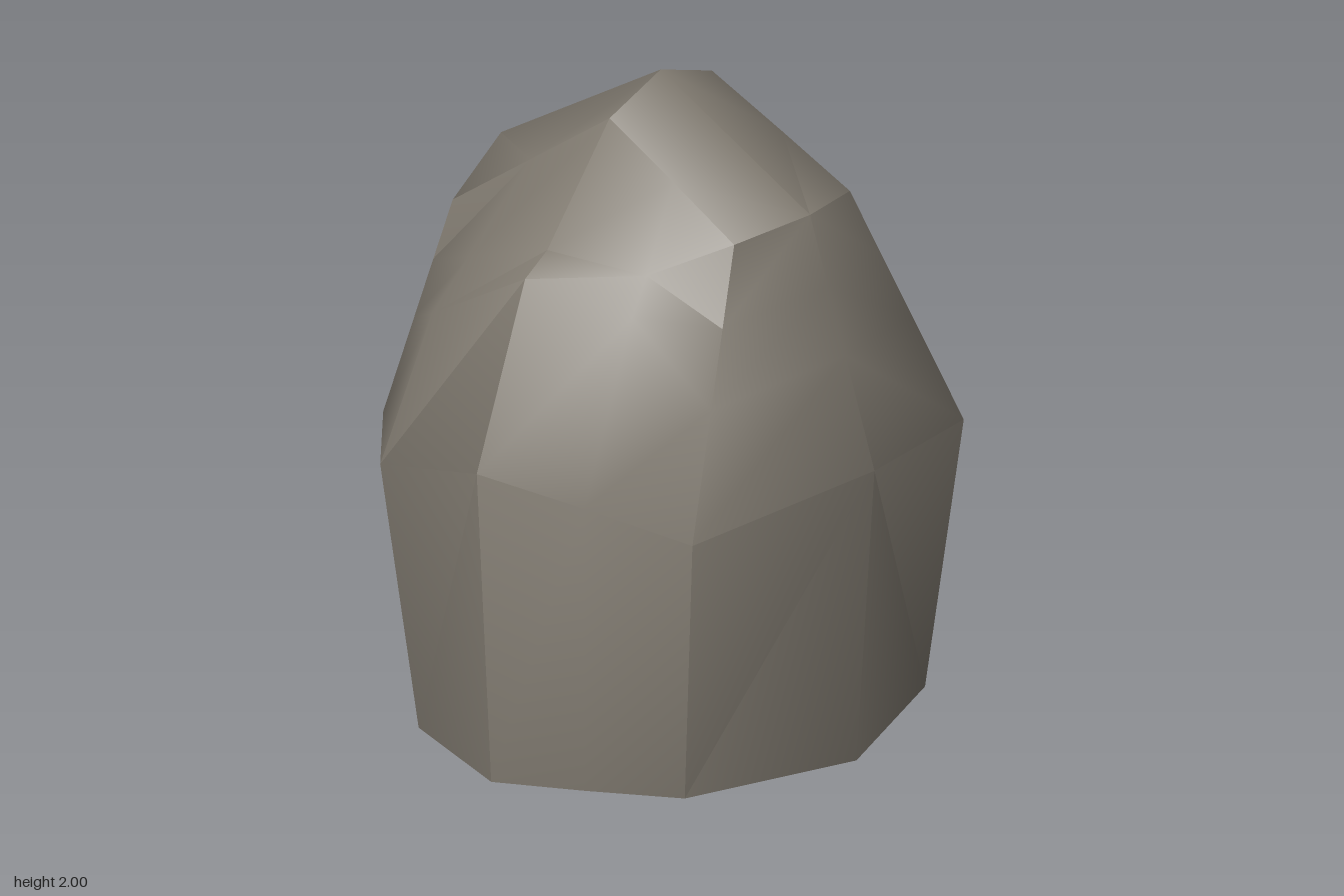
import * as THREE from 'three';
import { toCreasedNormals } from 'three/addons/utils/BufferGeometryUtils.js';

// Point part way along a straight edge
const lerp = (a, b, t) => a.map((v, i) => v + (b[i] - v) * t);

// Column from the ground up: foot, waist, bulge, ledge, rim
function column(footX, footZ, waist, rim, bulge, ledge) {
  return [
    [footX, 0, footZ],
    waist,
    bulge || lerp(waist, rim, 0.45),
    ledge || lerp(waist, rim, 0.72),
    rim,
  ];
}

export function createModel() {
  const group = new THREE.Group();
  // The underside is open, so the inside shows too
  const stone = new THREE.MeshStandardMaterial({ color: 0x807a70, side: THREE.DoubleSide });
  stone.name = 'greyStone';

  // Columns from the -x end, around the front, to the +x end
  const half = [
    column(-0.73, 0, [-0.83, 0.91, 0], [-0.62, 1.62, 0]),
    column(-0.59, 0.4, [-0.68, 0.86, 0.46], [-0.57, 1.51, 0.275]),
    column(-0.37, 0.66, [-0.45, 0.85, 0.74], [-0.285, 1.715, 0.255], [-0.37, 1.31, 0.6], [-0.35, 1.45, 0.46]),
    column(0.05, 0.82, [0.05, 1.01, 0.885], [0, 1.92, 0.23], [0, 1.53, 0.61], [0, 1.59, 0.51]),
    column(0.3, 0.69, [0.35, 0.94, 0.75], [0.26, 1.795, 0.245], [0.32, 1.46, 0.5], [0.3, 1.56, 0.41]),
    column(0.56, 0.54, [0.65, 0.86, 0.61], [0.51, 1.67, 0.26]),
    column(0.76, 0, [0.83, 0.95, 0], [0.58, 1.7, 0]),
  ];

  const pos = [];
  const mirror = ([x, y, z]) => [x, y, -z];
  // Each triangle is repeated on the back with its order reversed
  function tri(a, b, c) {
    pos.push(...a, ...b, ...c, ...mirror(a), ...mirror(c), ...mirror(b));
  }

  // Sides
  for (let i = 0; i < half.length - 1; i++) {
    const l = half[i], r = half[i + 1];
    for (let j = 0; j < 4; j++) {
      tri(l[j], r[j], r[j + 1]);
      tri(l[j], r[j + 1], l[j + 1]);
    }
  }

  // Sloping crown along the ridge
  const [w, a, b, c, g, d, e] = half.map((col) => col[4]);
  const peak = [0, 2, 0];
  tri(a, b, w);
  tri(b, peak, w);
  tri(b, c, peak);
  tri(c, g, peak);
  tri(g, e, peak);
  tri(g, d, e);

  const geometry = new THREE.BufferGeometry();
  geometry.setAttribute('position', new THREE.Float32BufferAttribute(pos, 3));
  const rock = new THREE.Mesh(toCreasedNormals(geometry, 0.77), stone);
  rock.name = 'boulder';
  group.add(rock);
  return group;
}
